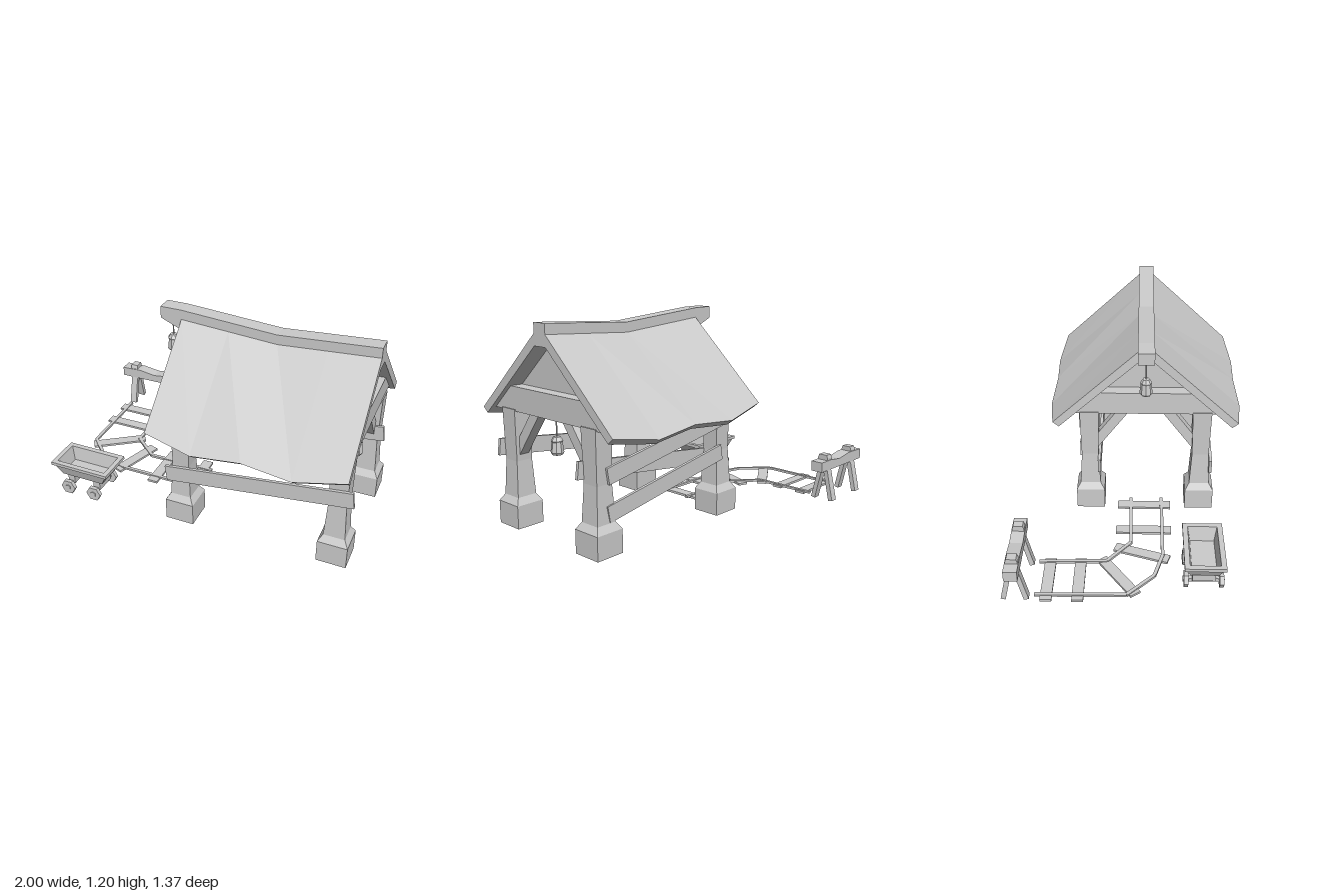
import * as THREE from 'three';

const material = new THREE.MeshStandardMaterial({ color: 0xcccccc, flatShading: true });
const MID_Z = 0.107; // ridge line of the shelter

export function createModel() {
  const model = new THREE.Group();

  const add = (name, geometry, x = 0, y = 0, z = 0, parent = model) => {
    const mesh = new THREE.Mesh(geometry, material);
    mesh.name = name;
    mesh.position.set(x, y, z);
    parent.add(mesh);
    return mesh;
  };

  const group = (name) => {
    const g = new THREE.Group();
    g.name = name;
    model.add(g);
    return g;
  };

  // Capped solid through rings of corners, ordered right-handed about the direction of travel
  const loft = (rings) => {
    const pos = [];
    const tri = (...corners) => corners.forEach((c) => pos.push(...c));
    const n = rings[0].length;
    const last = rings[rings.length - 1];
    for (let k = 0; k < rings.length - 1; k++) {
      for (let i = 0; i < n; i++) {
        const j = (i + 1) % n;
        const a = rings[k][i], b = rings[k][j], c = rings[k + 1][j], d = rings[k + 1][i];
        tri(a, b, c);
        tri(a, c, d);
      }
    }
    for (let i = 1; i < n - 1; i++) {
      tri(rings[0][0], rings[0][i + 1], rings[0][i]);
      tri(last[0], last[i], last[i + 1]);
    }
    const g = new THREE.BufferGeometry();
    g.setAttribute('position', new THREE.Float32BufferAttribute(pos, 3));
    g.computeVertexNormals();
    return g;
  };

  // Horizontal rectangle ring: height, half width, half depth
  const rect = ([y, hx, hz]) => [[hx, y, hz], [hx, y, -hz], [-hx, y, -hz], [-hx, y, hz]];

  // Straight timber between two points
  const bar = (name, a, b, w, h, parent = model) => {
    const p = new THREE.Vector3(...a), q = new THREE.Vector3(...b);
    const mid = p.clone().add(q).multiplyScalar(0.5);
    const mesh = add(name, new THREE.BoxGeometry(w, h, p.distanceTo(q)), mid.x, mid.y, mid.z, parent);
    mesh.lookAt(q);
    return mesh;
  };

  // Posts on stone footings
  const footing = loft([[0.015, 0.087, 0.087], [0.15, 0.087, 0.087], [0.19, 0.062, 0.062]].map(rect));
  const post = loft([[0.19, 0.062, 0.062], [0.4, 0.051, 0.051], [0.7, 0.057, 0.057]].map(rect));
  for (const x of [-0.025, 0.905]) {
    for (const z of [0.447, -0.23]) {
      add('footing', footing, x, 0, z);
      add('post', post, x, 0, z);
    }
  }

  // Gable frames: tie beam, infill panel and corner braces
  const gable = (x0, x1, y0, w0, y1, w1) => loft([x0, x1].map((x) => [
    [x, y0, MID_Z - w0], [x, y1, MID_Z - w1], [x, y1, MID_Z + w1], [x, y0, MID_Z + w0]]));
  for (const [x, inward] of [[-0.025, 1], [0.905, -1]]) {
    add('tieBeam', gable(x - 0.05, x + 0.05, 0.69, 0.47, 0.83, 0.325));
    const px = x + inward * 0.035;
    add('gablePanel', gable(px - 0.012, px + 0.012, 0.8, 0.345, 1.072, 0.048));
    for (const s of [1, -1]) {
      bar('cornerBrace', [x, 0.44, MID_Z + s * 0.323], [x, 0.73, MID_Z + s * 0.108], 0.06, 0.06);
    }
  }

  // Side planks
  for (const z of [0.509, -0.173]) bar('sidePlank', [-0.113, 0.332, z], [0.993, 0.473, z], 0.018, 0.097);
  for (const y of [0, 0.205]) bar('backPlank', [-0.005, 0.39 + y, -0.287], [0.89, 0.237 + y, -0.287], 0.018, 0.092);

  // Sagging roof panels with wavy eaves
  const roofX = [-0.165, 0.1225, 0.41, 0.6975, 0.985];
  const ridgeDrop = [0, 0.02, 0.04, 0.02, 0];
  const eaveDrop = [0, 0.05, 0.025, 0.05, 0];
  const eaveOut = [0, 0.035, 0.02, 0.035, 0];
  for (const s of [1, -1]) {
    const rings = roofX.map((x, i) => {
      const z = 0.547 + eaveOut[i], y = 0.683 - eaveDrop[i], r = -ridgeDrop[i];
      const ring = [[0.046, 1.148 + r], [z, y], [z - 0.036, y - 0.03], [0.046, 1.08 + r]]
        .map(([dz, py]) => [x, py, MID_Z + s * dz]);
      return s > 0 ? ring : ring.reverse();
    });
    add('roofPanel', loft(rings));
  }

  // Ridge beam, overhanging one end
  const ridge = new THREE.Shape([
    [-0.295, 1.135], [-0.165, 1.08],
    ...roofX.slice(1).map((x, i) => [x, 1.08 - ridgeDrop[i + 1]]),
    ...roofX.map((x, i) => [x, 1.205 - ridgeDrop[i]]).reverse(),
    [-0.295, 1.205],
  ].map(([x, y]) => new THREE.Vector2(x, y)));
  add('ridgeBeam', new THREE.ExtrudeGeometry(ridge, { depth: 0.094, bevelEnabled: false }), 0, 0, MID_Z - 0.047);

  // Hanging lanterns
  const lantern = new THREE.LatheGeometry([
    [0, -0.1], [0.029, -0.1], [0.037, -0.086], [0.03, -0.03], [0.034, -0.022], [0.02, 0], [0, 0],
  ].map(([r, y]) => new THREE.Vector2(r, y)), 8);
  for (const [x, y, hook] of [[0.895, 0.585, 0.7], [-0.24, 1.02, 1.13]]) {
    add('lantern', lantern, x, y, MID_Z);
    add('lanternChain', new THREE.CylinderGeometry(0.004, 0.004, hook - y, 6), x, (y + hook) / 2, MID_Z);
  }

  // Curved rail track
  const track = group('track');
  const rails = [
    [[-0.04, 0.022], [-0.47, 0.028], [-0.635, -0.11], [-0.645, -0.5]],
    [[-0.04, 0.215], [-0.58, 0.215], [-0.75, 0.165], [-0.905, 0.01], [-0.91, -0.5]],
  ];
  for (const path of rails) {
    for (let i = 0; i < path.length - 1; i++) {
      const [x0, z0] = path[i], [x1, z1] = path[i + 1];
      bar('rail', [x0, 0.028, z0], [x1, 0.028, z1], 0.02, 0.014, track);
    }
  }
  const ties = [
    [-0.1, -0.06, -0.1, 0.27], [-0.345, 0.27, -0.345, -0.065], [-0.505, 0.06 - 0.125, -0.61, 0.25],
    [-0.61, -0.14, -0.895, 0.06], [-0.95, -0.26, -0.615, -0.26], [-0.95, -0.435, -0.62, -0.435],
  ];
  for (const [x0, z0, x1, z1] of ties) bar('tie', [x0, 0.022, z0], [x1, 0.022, z1], 0.065, 0.014, track);

  // Mine cart: hollow tapered tub, axles and six-sided wheels
  const cart = group('cart');
  cart.position.set(-0.697, 0, 0.441);
  add('tub', loft([
    [0.088, 0.1, 0.05], [0.115, 0.14, 0.08], [0.19, 0.18, 0.105], [0.19, 0.193, 0.115],
    [0.21, 0.193, 0.115], [0.21, 0.164, 0.085], [0.12, 0.145, 0.07],
  ].map(rect)), 0, 0, 0, cart);
  const wheel = new THREE.CylinderGeometry(0.049, 0.049, 0.024, 6).rotateX(Math.PI / 2).rotateZ(Math.PI / 6);
  const hub = new THREE.CylinderGeometry(0.018, 0.018, 0.034, 6).rotateX(Math.PI / 2);
  for (const x of [-0.09, 0.09]) {
    add('axle', new THREE.BoxGeometry(0.022, 0.022, 0.2), x, 0.045, 0, cart);
    add('axleBlock', new THREE.BoxGeometry(0.045, 0.055, 0.13), x, 0.075, 0, cart);
    for (const s of [1, -1]) {
      add('wheel', wheel, x, 0.044, s * 0.1, cart);
      add('hub', hub, x, 0.044, s * 0.1, cart);
    }
  }

  // Trestle with splayed legs
  const trestle = group('trestle');
  const beamTop = [[-1, 0.273], [-0.86, 0.277], [-0.75, 0.26], [-0.65, 0.272], [-0.55, 0.272]];
  add('trestleBeam', loft(beamTop.map(([x, y]) => [
    [x, 0.21, -0.643], [x, y, -0.643], [x, y, -0.567], [x, 0.21, -0.567]])), 0, 0, 0, trestle);
  for (const x of [-0.913, -0.64]) {
    add('legCap', loft([[0.2, 0.024, 0.034], [0.285, 0.024, 0.034], [0.305, 0.024, 0.027]].map(rect)), x, 0, -0.605, trestle);
    for (const s of [1, -1]) {
      bar('trestleLeg', [x, 0.015, -0.605 + s * 0.064], [x, 0.26, -0.605 + s * 0.008], 0.045, 0.028, trestle);
    }
  }

  return model;
}
